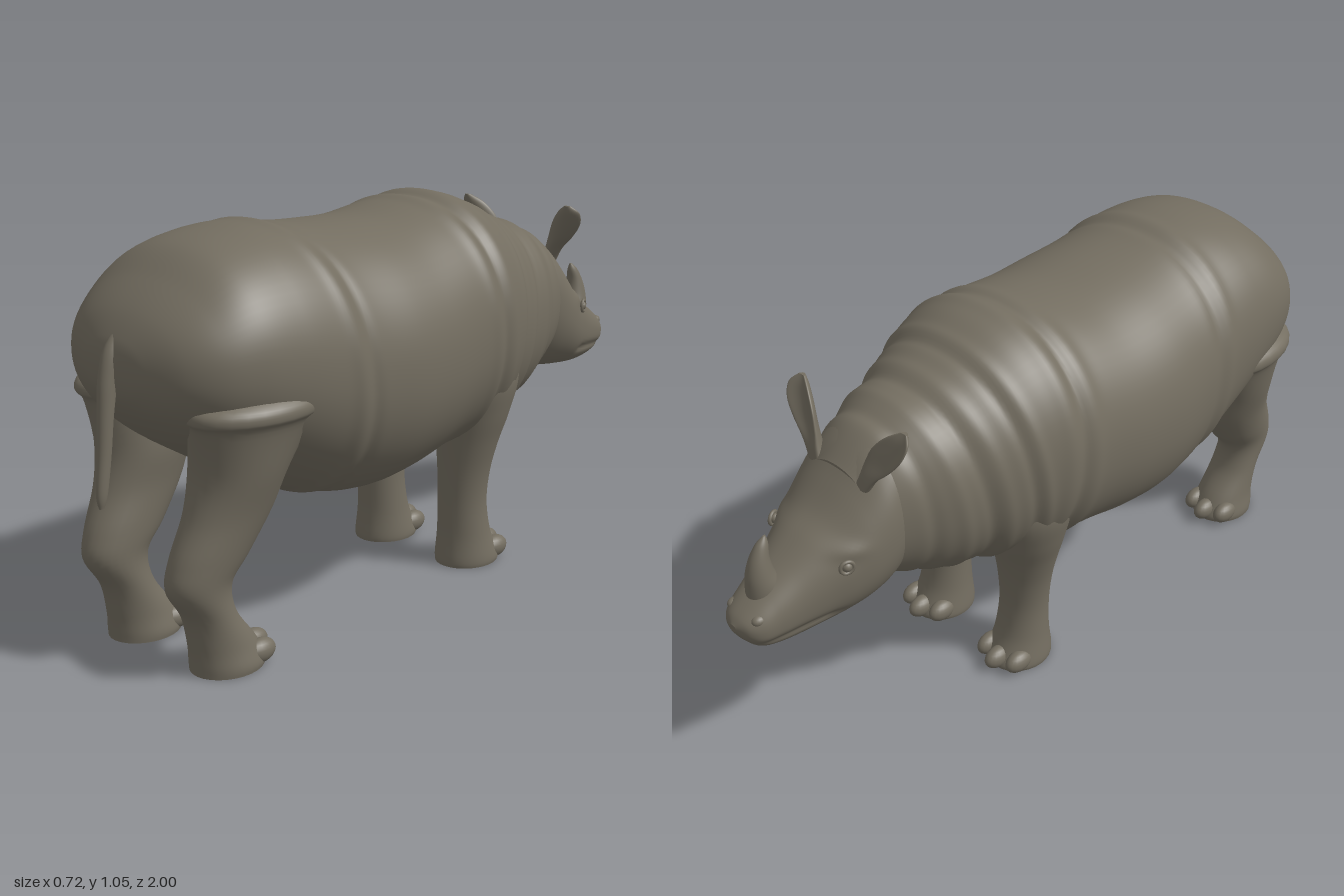
import * as THREE from 'three';

const hide = new THREE.MeshStandardMaterial({ color: 0x736d60 });
hide.name = 'grey hide';

const bump = (d, w) => Math.exp(-(d * d) / (w * w));
const pow = (v, p) => Math.sign(v) * Math.abs(v) ** p;

// Smoothly interpolate a table of rows at t in 0..1
function sample(rows, t) {
  const f = t * (rows.length - 1), i = Math.min(Math.floor(f), rows.length - 2), u = f - i;
  const at = (k) => rows[Math.max(0, Math.min(rows.length - 1, k))];
  return rows[0].map((_, c) => {
    const a = at(i - 1)[c], b = at(i)[c], d = at(i + 1)[c], e = at(i + 2)[c];
    return b + 0.5 * u * (d - a + u * (2 * a - 5 * b + 4 * d - e + u * (3 * (b - d) + e - a)));
  });
}

// Closed skin through rings; point(row, angle) gives [x, y, z]
function loft(name, rows, rings, sides, point) {
  const pos = [], idx = [];
  for (let i = 0; i <= rings; i++) {
    const row = sample(rows, i / rings);
    for (let j = 0; j < sides; j++) pos.push(...point(row, (j / sides) * Math.PI * 2));
  }
  for (let i = 0; i < rings; i++) {
    for (let j = 0; j < sides; j++) {
      const a = i * sides + j, b = i * sides + ((j + 1) % sides), c = a + sides, d = b + sides;
      idx.push(a, b, c, b, d, c);
    }
  }
  // End caps
  for (const [start, flip] of [[0, true], [rings * sides, false]]) {
    const mid = [0, 0, 0], centre = pos.length / 3, first = pos.length / 3 + 1;
    for (let j = 0; j < sides; j++) for (let k = 0; k < 3; k++) mid[k] += pos[(start + j) * 3 + k] / sides;
    const ring = pos.slice(start * 3, (start + sides) * 3);
    pos.push(...mid, ...ring);
    for (let j = 0; j < sides; j++) {
      const a = first + j, b = first + ((j + 1) % sides);
      idx.push(centre, flip ? b : a, flip ? a : b);
    }
  }
  // Turn the faces outward
  const v = (i) => new THREE.Vector3().fromArray(pos, i * 3);
  let volume = 0;
  for (let i = 0; i < idx.length; i += 3) volume += v(idx[i]).dot(v(idx[i + 1]).cross(v(idx[i + 2])));
  if (volume < 0) idx.reverse();
  const g = new THREE.BufferGeometry();
  g.setAttribute('position', new THREE.Float32BufferAttribute(pos, 3));
  g.setIndex(idx);
  g.computeVertexNormals();
  const mesh = new THREE.Mesh(g, hide);
  mesh.name = name;
  return mesh;
}

// Upright part with level rings: rows of [y, x, z, radius x, radius z]
const column = (name, rows, side = 1, cup = 0) =>
  loft(name, rows, rows.length * 5, 28, ([y, x, z, rx, rz], a) => {
    const c = Math.cos(a);
    return [side * (x + rx * c), y, z + rz * Math.sin(a) - cup * c * c * (rx / 0.045)];
  });

function ball(name, x, y, z, sx, sy, sz) {
  const m = new THREE.Mesh(new THREE.SphereGeometry(1, 18, 12), hide);
  m.name = name;
  m.position.set(x, y, z);
  m.scale.set(sx, sy, sz);
  return m;
}

export function createModel() {
  const model = new THREE.Group();
  model.name = 'rhinoceros';

  // Trunk rows: [z, bottom, top, half width]
  const trunk = [
    [0.95, 0.72, 0.78, 0.03], [0.935, 0.675, 0.825, 0.11], [0.895, 0.62, 0.885, 0.205],
    [0.83, 0.56, 0.945, 0.272], [0.74, 0.5, 1.01, 0.31], [0.62, 0.43, 1.038, 0.33],
    [0.5, 0.365, 1.04, 0.34], [0.38, 0.32, 1.022, 0.35], [0.25, 0.3, 1.014, 0.362],
    [0.12, 0.31, 1.012, 0.358], [0, 0.33, 1.027, 0.345], [-0.1, 0.34, 1.04, 0.335],
    [-0.19, 0.35, 1.037, 0.318], [-0.28, 0.37, 1.0, 0.287], [-0.38, 0.395, 0.955, 0.245],
    [-0.48, 0.42, 0.922, 0.212], [-0.57, 0.465, 0.89, 0.175], [-0.65, 0.5, 0.82, 0.14],
  ];
  // Skin folds: [z, height, width, slant]
  const folds = [
    [0.5, 0.014, 0.022, 0.09], [0.455, -0.014, 0.018, 0.09], [-0.055, 0.012, 0.022, 0.05],
    [-0.095, -0.018, 0.016, 0.05], [-0.14, 0.018, 0.025, 0.05], [-0.27, 0.016, 0.018, -0.1],
    [-0.3, -0.02, 0.016, -0.1], [-0.38, 0.02, 0.02, -0.12], [-0.42, -0.025, 0.018, -0.12],
    [-0.48, 0.025, 0.022, -0.1], [-0.535, -0.03, 0.02, -0.05],
  ];
  model.add(loft('body', trunk, 190, 72, ([z, lo, hi, w], a) => {
    const s = pow(Math.sin(a), 0.93), c = pow(Math.cos(a), 0.93);
    let k = 1;
    for (const [fz, h, fw, slant] of folds) k += h * bump(z - fz - slant * (s - 1) * 0.4, fw);
    return [w * c * k, (lo + hi) / 2 + ((hi - lo) / 2) * s * k, z];
  }));

  // Head rows as for the trunk, with a groove for the mouth and a brow
  const head = [
    [-0.54, 0.53, 0.85, 0.12], [-0.565, 0.485, 0.885, 0.158], [-0.61, 0.463, 0.857, 0.17],
    [-0.67, 0.452, 0.79, 0.166], [-0.73, 0.444, 0.728, 0.148], [-0.79, 0.436, 0.688, 0.123],
    [-0.85, 0.433, 0.645, 0.101], [-0.91, 0.439, 0.605, 0.084], [-0.955, 0.455, 0.574, 0.07],
    [-0.983, 0.485, 0.552, 0.047], [-0.998, 0.512, 0.533, 0.012],
  ];
  model.add(loft('head', head, 80, 80, ([z, lo, hi, w], a) => {
    const y = (lo + hi) / 2 + ((hi - lo) / 2) * pow(Math.sin(a), 0.9);
    const mouth = 0.09 * bump(y - 0.485 - 0.1 * (z + 0.9), 0.01) * bump(Math.min(0, -0.8 - z), 0.04);
    const brow = 0.08 * bump(y - 0.672, 0.02) * bump(z + 0.74, 0.04);
    return [w * pow(Math.cos(a), 0.88) * (1 - mouth + brow), y, z];
  }));

  model.add(column('horn', [
    [0.55, 0, -0.893, 0.042, 0.05], [0.6, 0, -0.897, 0.04, 0.046], [0.64, 0, -0.903, 0.033, 0.036],
    [0.68, 0, -0.9, 0.024, 0.026], [0.715, 0, -0.888, 0.014, 0.017], [0.735, 0, -0.878, 0.003, 0.004],
  ]));
  model.add(column('tail', [
    [0.86, 0, 0.885, 0.01, 0.02], [0.8, 0, 0.92, 0.024, 0.035], [0.73, 0, 0.95, 0.022, 0.026],
    [0.65, 0, 0.963, 0.019, 0.021], [0.55, 0, 0.972, 0.015, 0.018], [0.46, 0, 0.984, 0.012, 0.015],
    [0.425, 0, 0.987, 0.005, 0.007],
  ]));

  const hindLeg = [
    [0.7, 0.2, 0.66, 0.08, 0.12], [0.67, 0.2, 0.675, 0.123, 0.185], [0.64, 0.2, 0.68, 0.13, 0.195],
    [0.61, 0.19, 0.685, 0.122, 0.172], [0.5, 0.174, 0.715, 0.112, 0.127], [0.4, 0.166, 0.745, 0.091, 0.12],
    [0.3, 0.158, 0.8, 0.078, 0.11], [0.23, 0.154, 0.834, 0.069, 0.087], [0.15, 0.152, 0.805, 0.069, 0.067],
    [0.07, 0.153, 0.768, 0.076, 0.087], [0.02, 0.154, 0.752, 0.086, 0.098], [0, 0.154, 0.752, 0.085, 0.097],
  ];
  const foreLeg = [
    [0.66, 0.2, -0.17, 0.08, 0.1], [0.55, 0.192, -0.17, 0.106, 0.122], [0.45, 0.178, -0.167, 0.102, 0.104],
    [0.36, 0.165, -0.16, 0.088, 0.086], [0.27, 0.157, -0.156, 0.074, 0.074], [0.18, 0.153, -0.156, 0.069, 0.069],
    [0.09, 0.153, -0.164, 0.075, 0.076], [0.02, 0.154, -0.177, 0.086, 0.096], [0, 0.154, -0.177, 0.085, 0.095],
  ];
  const ear = [
    [0.79, 0.085, -0.632, 0.022, 0.02], [0.83, 0.105, -0.625, 0.027, 0.018], [0.87, 0.132, -0.613, 0.041, 0.014],
    [0.91, 0.156, -0.601, 0.048, 0.012], [0.945, 0.175, -0.59, 0.037, 0.01], [0.967, 0.183, -0.583, 0.01, 0.005],
  ];

  // Paired parts
  for (const [side, label] of [[1, 'left'], [-1, 'right']]) {
    model.add(column(label + 'HindLeg', hindLeg, side));
    model.add(column(label + 'ForeLeg', foreLeg, side));
    model.add(column(label + 'Ear', ear, side, 0.02));
    for (const [foot, z] of [['Hind', 0.667], ['Fore', -0.262]]) {
      for (const t of [-1, 0, 1]) {
        const back = Math.abs(t) * 0.026;
        model.add(ball(label + foot + 'Toe', side * 0.154 + t * 0.055, 0.032, z + back, 0.027, 0.031, 0.046));
      }
    }
    // Eye with a raised lid
    model.add(ball(label + 'Eye', side * 0.135, 0.64, -0.747, 0.014, 0.014, 0.014));
    const lid = new THREE.Mesh(new THREE.TorusGeometry(0.017, 0.005, 8, 20), hide);
    lid.name = label + 'Eyelid';
    lid.position.set(side * 0.139, 0.64, -0.75);
    lid.rotation.y = side * (Math.PI / 2 + 0.35);
    model.add(lid);
    model.add(ball(label + 'Nostril', side * 0.046, 0.548, -0.953, 0.016, 0.014, 0.02));
  }
  return model;
}
